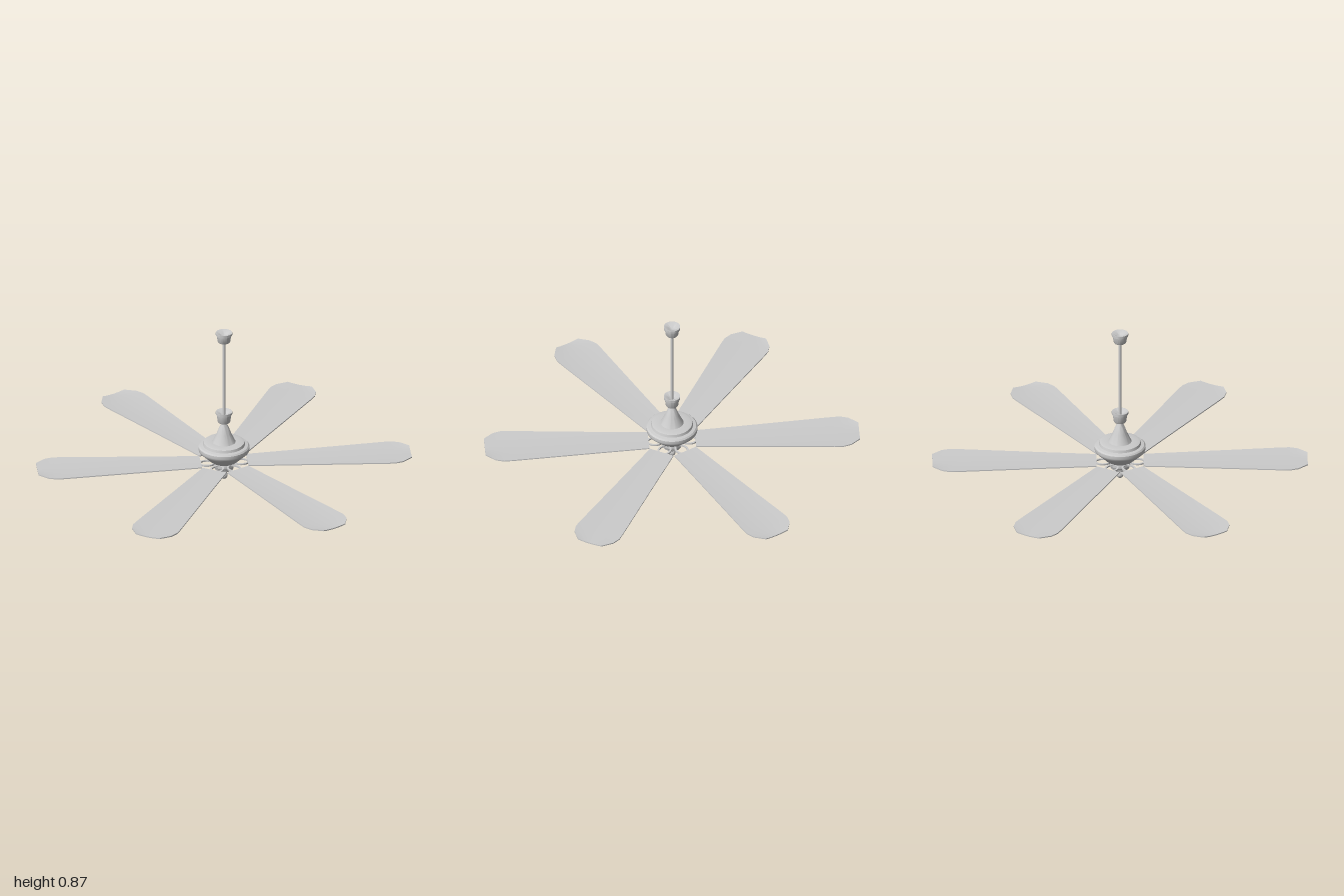
import * as THREE from 'three';
import { toCreasedNormals } from 'three/addons/utils/BufferGeometryUtils.js';

const material = new THREE.MeshStandardMaterial({ color: 0xcccccc });

// Turned part: profile runs bottom to top as [radius, y]
function turned(name, profile) {
  const points = profile.map(([r, y]) => new THREE.Vector2(r, y));
  const geometry = toCreasedNormals(new THREE.LatheGeometry(points, 40), 0.6);
  const mesh = new THREE.Mesh(geometry, material);
  mesh.name = name;
  return mesh;
}

// Flared cup with a dished top, y is the height of its base
function cup(name, y, height) {
  return turned(name, [
    [0, y], [0.03, y], [0.034, y + 0.006], [0.039, y + height - 0.016],
    [0.044, y + height - 0.014], [0.044, y + height], [0.039, y + height],
    [0.018, y + height - 0.014], [0, y + height - 0.02],
  ]);
}

// Thin blade widening outwards, with clipped tip corners and a slight cup
function bladeGeometry() {
  const stations = [[0.125, 0.069], [0.4, 0.09], [0.65, 0.11], [0.86, 0.127],
    [0.905, 0.129], [0.95, 0.115], [1, 0.07]];
  const last = stations.length - 1;
  const geometry = new THREE.BoxGeometry(1, 0.006, 1, last, 1, 6);
  const pos = geometry.attributes.position;
  for (let i = 0; i < pos.count; i++) {
    const [x, halfWidth] = stations[Math.round((pos.getX(i) + 0.5) * last)];
    const across = pos.getZ(i) * 2;
    const cupping = 0.005 * across * across * x;
    pos.setXYZ(i, x, 0.102 + pos.getY(i) + cupping, across * halfWidth);
  }
  return toCreasedNormals(geometry, 0.6);
}

// Flat oval loop that carries a blade root
function bracketGeometry() {
  const shape = new THREE.Shape();
  shape.absellipse(0.092, 0, 0.044, 0.036, 0, Math.PI * 2);
  const hole = new THREE.Path();
  hole.absellipse(0.092, 0, 0.034, 0.026, 0, Math.PI * 2);
  shape.holes.push(hole);
  const geometry = new THREE.ExtrudeGeometry(shape, { depth: 0.008, bevelEnabled: false, curveSegments: 20 });
  geometry.rotateX(-Math.PI / 2).translate(0, 0.091, 0);
  return toCreasedNormals(geometry, 0.6);
}

export function createModel() {
  const fan = new THREE.Group();
  fan.name = 'ceilingFan';

  // Hanging parts
  fan.add(cup('ceilingCanopy', 0.81, 0.056));
  fan.add(cup('lowerCup', 0.335, 0.062));
  const rod = new THREE.Mesh(new THREE.CylinderGeometry(0.008, 0.008, 0.5, 20), material);
  rod.name = 'downRod';
  rod.position.y = 0.575;
  fan.add(rod);

  // Motor housing with its conical neck
  fan.add(turned('motorHousing', [
    [0, 0.106], [0.066, 0.106], [0.08, 0.116], [0.1, 0.136], [0.122, 0.156], [0.134, 0.168],
    [0.137, 0.178], [0.136, 0.193], [0.129, 0.2], [0.112, 0.203], [0.108, 0.217], [0.098, 0.22],
    [0.062, 0.22], [0.054, 0.235], [0.038, 0.27], [0.024, 0.308], [0.016, 0.322], [0.012, 0.338],
  ]));

  // Lower housing and drop finial
  fan.add(turned('switchHousing', [
    [0, 0.058], [0.044, 0.058], [0.05, 0.063], [0.052, 0.075], [0.056, 0.08], [0.056, 0.098], [0.05, 0.108], [0, 0.108],
  ]));
  fan.add(turned('finial', [
    [0, 0], [0.009, 0.002], [0.016, 0.008], [0.02, 0.019], [0.018, 0.03], [0.011, 0.042], [0.007, 0.05], [0.007, 0.06],
  ]));

  // Six blades on brackets
  const blade = bladeGeometry();
  const bracket = bracketGeometry();
  for (let i = 0; i < 6; i++) {
    const arm = new THREE.Group();
    arm.name = `bladeArm${i + 1}`;
    const bladeMesh = new THREE.Mesh(blade, material);
    bladeMesh.name = 'blade';
    const bracketMesh = new THREE.Mesh(bracket, material);
    bracketMesh.name = 'bladeBracket';
    arm.add(bladeMesh, bracketMesh);
    arm.rotation.y = (i * Math.PI) / 3;
    fan.add(arm);
  }
  return fan;
}
